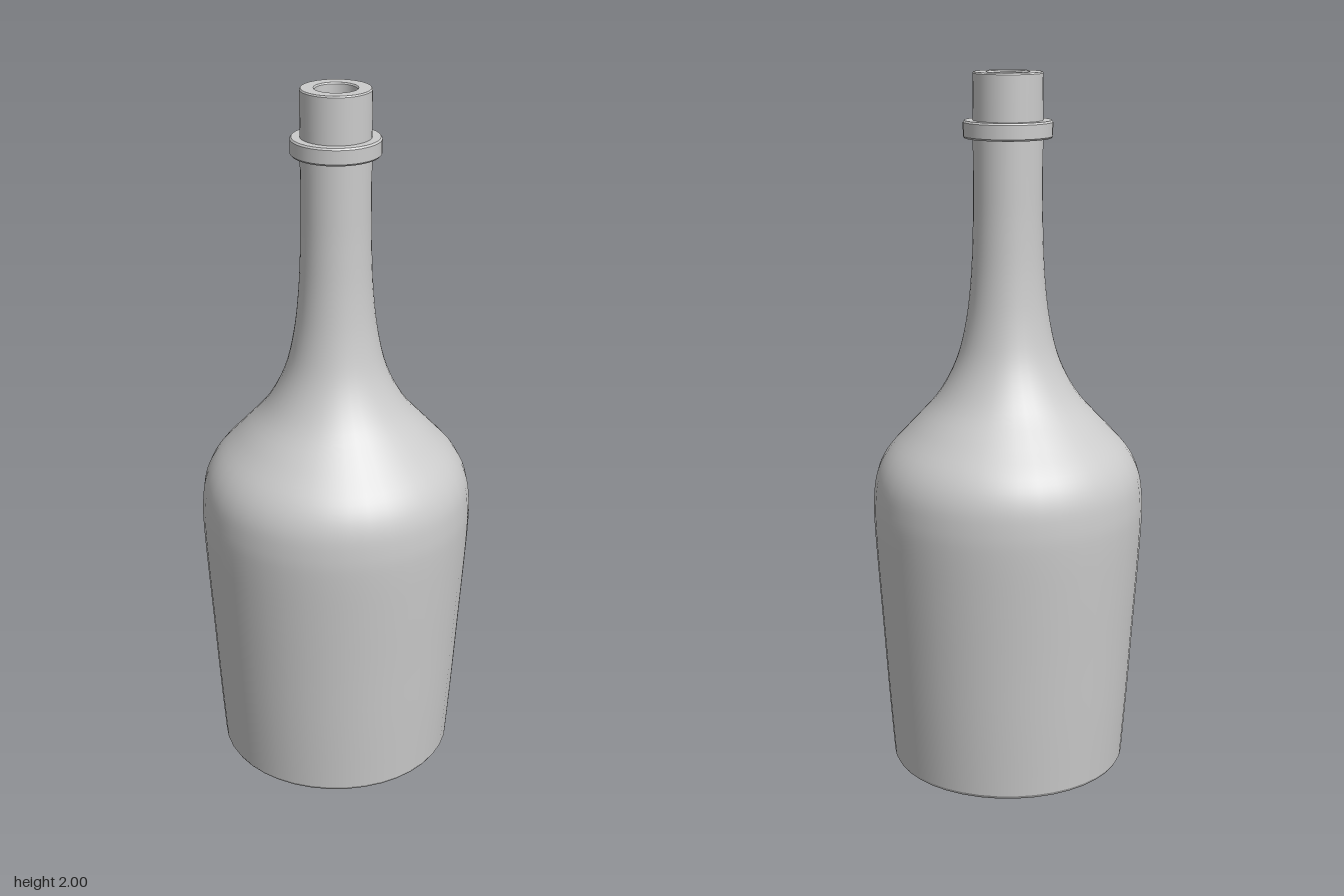
import * as THREE from 'three';

const SEGMENTS = 40;

export function createModel() {
  const group = new THREE.Group();
  group.name = 'bottle';
  const material = new THREE.MeshStandardMaterial({ color: 0xcccccc });
  const toPoints = (list) => list.map(([r, y]) => new THREE.Vector2(r, y));

  // Revolve one smooth profile
  const revolve = (parent, name, points) => {
    const mesh = new THREE.Mesh(new THREE.LatheGeometry(points, SEGMENTS), material);
    mesh.name = name;
    parent.add(mesh);
  };
  // Revolve a profile with sharp corners, one strip per straight edge
  const revolveSharp = (name, list) => {
    const part = new THREE.Group();
    part.name = name;
    const points = toPoints(list);
    for (let i = 0; i < points.length - 1; i++) {
      revolve(part, name + 'Edge', [points[i], points[i + 1]]);
    }
    group.add(part);
  };
  const smooth = (list, n) => new THREE.SplineCurve(toPoints(list)).getPoints(n);

  // Tapered body, rounded shoulder and long neck
  revolve(group, 'body', smooth([
    [0.34, 0.01], [0.354, 0.2], [0.367, 0.4], [0.379, 0.58], [0.387, 0.72],
    [0.387, 0.8], [0.376, 0.875], [0.343, 0.94], [0.275, 1.015], [0.2, 1.1],
    [0.147, 1.2], [0.119, 1.31], [0.104, 1.44], [0.098, 1.58], [0.097, 1.7], [0.097, 1.83],
  ], 64));

  // Foot ring the bottle stands on
  revolveSharp('foot', [[0.31, 0], [0.334, 0], [0.34, 0.01]]);

  // Hollow pushed up into the base
  revolve(group, 'punt', smooth([
    [0, 0.34], [0.06, 0.33], [0.13, 0.26], [0.2, 0.16], [0.265, 0.06], [0.31, 0],
  ], 20));

  // Raised collar below the mouth
  revolveSharp('collar', [
    [0.096, 1.822], [0.12, 1.822], [0.124, 1.827], [0.124, 1.865], [0.12, 1.87], [0.096, 1.87],
  ]);

  // Mouth and its flat lip
  revolveSharp('mouth', [
    [0.097, 1.83], [0.097, 1.996], [0.094, 2], [0.06, 2], [0.057, 1.996],
  ]);

  // Inner wall from the lip down to the punt
  revolve(group, 'interior', smooth([
    [0.057, 1.996], [0.057, 1.8], [0.058, 1.55], [0.08, 1.3], [0.16, 1.08],
    [0.3, 0.93], [0.345, 0.78], [0.335, 0.5], [0.31, 0.1],
  ], 40));
  revolve(group, 'interiorFloor', toPoints([[0.31, 0.1], [0.16, 0.3], [0.08, 0.37], [0, 0.37]]));

  return group;
}
